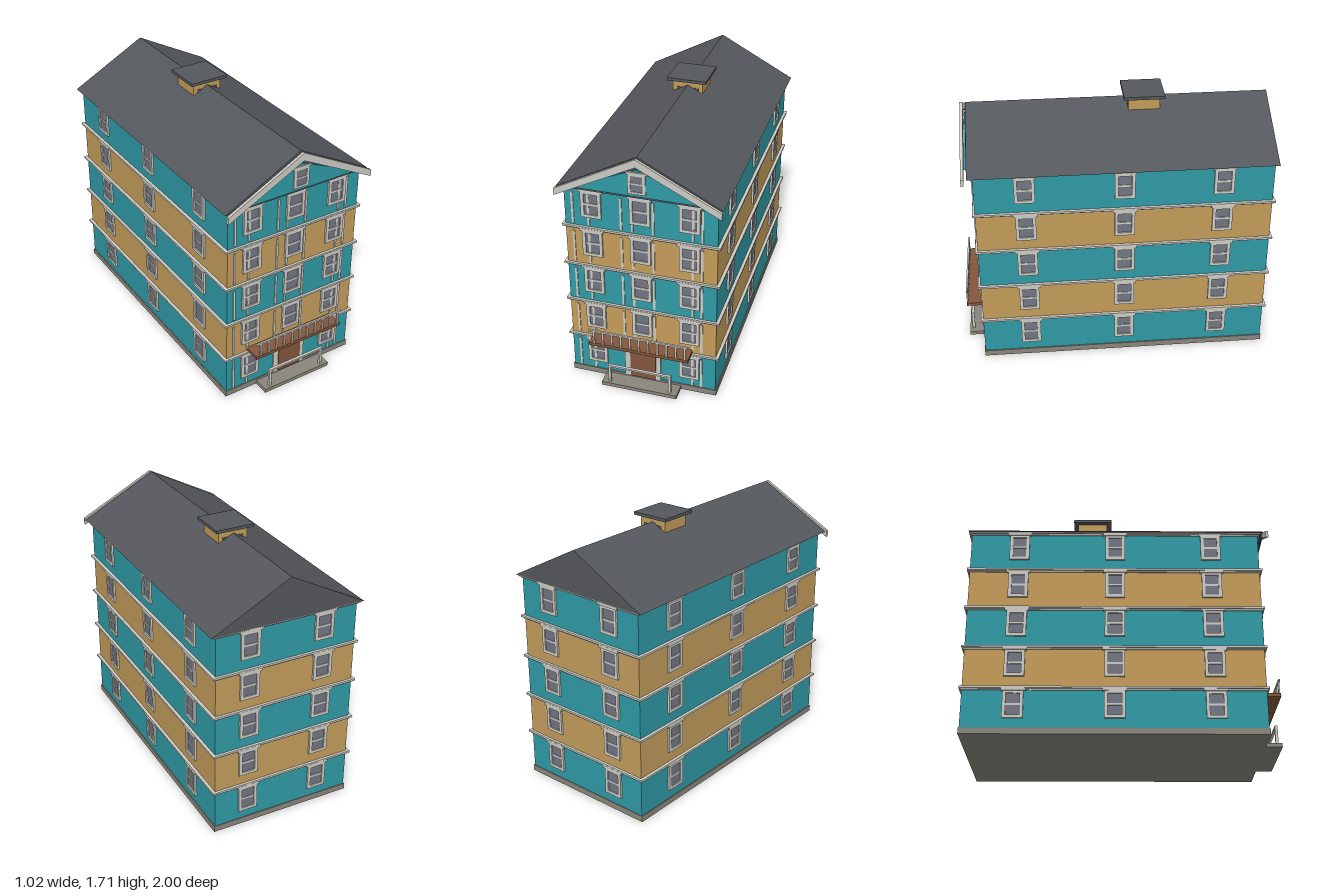
import * as THREE from 'three';

const material = (name, color) => {
  const m = new THREE.MeshStandardMaterial({ color });
  m.name = name;
  return m;
};

const FLOORS = 5, RISE = 0.273, BASE = 0.04;
const FRONT = 0.89, BACK = -0.98, SIDE = 0.475;
const EAVE = 1.392, RIDGE = 1.663, ROOF_X = 0.512;

export function createModel() {
  const teal = material('teal paint', 0x2f9aa6);
  const ochre = material('ochre paint', 0xc39c5a);
  const roofGrey = material('roof grey', 0x54575c);
  const trim = material('pale trim', 0xcdcbc3);
  const glass = material('window glass', 0x727683);
  const brown = material('brown wood', 0x83563c);
  const stone = material('foundation stone', 0x8a867c);

  const model = new THREE.Group();
  model.name = 'apartmentHouse';

  const add = (name, geometry, mat, parent = model) => {
    const mesh = new THREE.Mesh(geometry, mat);
    mesh.name = name;
    parent.add(mesh);
    return mesh;
  };
  // Box given by its extents along each axis
  const box = (name, mat, [x0, x1], [y0, y1], [z0, z1], parent) => {
    const mesh = add(name, new THREE.BoxGeometry(x1 - x0, y1 - y0, z1 - z0), mat, parent);
    mesh.position.set((x0 + x1) / 2, (y0 + y1) / 2, (z0 + z1) / 2);
    return mesh;
  };
  const outline = (points) => new THREE.Shape(points.map(([x, y]) => new THREE.Vector2(x, y)));
  const slab = (shape, z0, z1) =>
    new THREE.ExtrudeGeometry(shape, { depth: z1 - z0, bevelEnabled: false }).translate(0, 0, z0);

  // Foundation and front step
  box('foundation', stone, [-0.482, 0.482], [0, BASE], [-0.985, 0.895]);
  box('frontStep', stone, [-0.25, 0.25], [0, 0.025], [0.89, 1]);

  // Storeys in alternating colours, each topped by a two-step cornice
  for (let i = 0; i < FLOORS; i++) {
    const bottom = i === 0 ? BASE : 0.295 + (i - 1) * RISE;
    const top = 0.295 + i * RISE;
    box('storeyWalls', i % 2 ? ochre : teal, [-SIDE, SIDE], [bottom, top], [BACK, FRONT]);
    const y = 0.284 + i * RISE;
    box('corniceLower', trim, [-0.483, 0.483], [y, y + 0.009], [-0.988, 0.897]);
    box('corniceUpper', trim, [-0.495, 0.495], [y + 0.009, y + 0.022], [-0.997, 0.906]);
  }

  // Window: frame with opening, glass, sash bar and header; its base is at y = 0
  const frameShape = outline([[-0.064, 0], [0.064, 0], [0.064, 0.18], [-0.064, 0.18]]);
  frameShape.holes.push(outline([[-0.043, 0.02], [-0.043, 0.16], [0.043, 0.16], [0.043, 0.02]]));
  const frameGeometry = slab(frameShape, 0, 0.013);
  const addWindow = (x, y, z, turn) => {
    const group = new THREE.Group();
    group.name = 'window';
    group.position.set(x, y, z);
    group.rotation.y = turn;
    add('windowFrame', frameGeometry, trim, group);
    box('windowPane', glass, [-0.044, 0.044], [0.018, 0.162], [0, 0.005], group);
    box('sashBar', trim, [-0.044, 0.044], [0.083, 0.096], [0, 0.009], group);
    box('windowHeader', trim, [-0.076, 0.076], [0.176, 0.194], [0, 0.018], group);
    model.add(group);
    return group;
  };

  for (let i = 0; i < FLOORS; i++) {
    const y = 0.102 + i * RISE;
    for (const x of [-0.305, 0, 0.305]) {
      if (i > 0 || x !== 0) addWindow(x, y, FRONT, 0);
    }
    for (const z of [0.578, -0.043, -0.664]) {
      addWindow(SIDE, y, z, Math.PI / 2);
      addWindow(-SIDE, y, z, -Math.PI / 2);
    }
    for (const x of [-0.25, 0.25]) addWindow(x, y, BACK, Math.PI);

    // Thin vertical battens on the front wall
    for (const x of [-0.425, -0.325, -0.12, -0.05, 0.08, 0.325, 0.382]) {
      if (i === 0 && Math.abs(x) < 0.15) continue;
      const b = 0.046 + i * RISE;
      box('frontBatten', trim, [x - 0.007, x + 0.007], [b, b + 0.218], [FRONT, FRONT + 0.006]);
    }
  }

  // Front door with side trims
  box('frontDoor', brown, [-0.085, 0.085], [BASE, 0.295], [FRONT, 0.905]);
  box('doorTrimRight', trim, [-0.122, -0.085], [BASE, 0.295], [FRONT, 0.9]);
  box('doorTrimLeft', trim, [0.085, 0.115], [BASE, 0.295], [FRONT, 0.9]);

  // Balcony over the door
  box('balconyFloor', brown, [-0.325, 0.325], [0.308, 0.33], [FRONT, 1]);
  box('balconyRail', trim, [-0.325, 0.325], [0.415, 0.427], [0.988, 1]);
  for (let i = 0; i < 11; i++) {
    const x = -0.29 + i * 0.0595;
    box('balconyPost', trim, [x - 0.006, x + 0.006], [0.33, 0.416], [0.989, 0.999]);
  }

  // Handrail on the step
  for (const x of [-0.2, 0.2]) {
    box('stepPost', trim, [x - 0.008, x + 0.008], [0.025, 0.15], [0.965, 0.983]);
  }
  box('stepRail', trim, [-0.208, 0.208], [0.143, 0.156], [0.965, 0.983]);

  // Gabled roof, with a dark backing and painted gable at the front
  add('roof', slab(outline([[-ROOF_X, EAVE], [ROOF_X, EAVE], [0, RIDGE]]), -1, 0.922), roofGrey);
  add('gableBacking', slab(outline([[-0.42, 1.4], [0.42, 1.4], [0, 1.622]]), 0.92, 0.927), roofGrey);
  add('gableWall', slab(outline([[-0.415, 1.41], [0.415, 1.41], [0, 1.588]]), 0.925, 0.936), teal);
  const attic = addWindow(0, 1.428, 0.936, 0);
  attic.name = 'gableWindow';
  attic.scale.set(0.85, 0.74, 0.5);

  // Bargeboards following the gable
  const board = outline([
    [-0.512, 1.35], [0, 1.612], [0.512, 1.35],
    [0.512, 1.395], [0, 1.663], [-0.512, 1.395],
  ]);
  add('bargeboards', slab(board, 0.938, 0.957), trim);

  // Chimney with cap and small vents on both ends
  box('chimney', ochre, [-0.1, 0.1], [1.58, 1.692], [-0.3, -0.1]);
  box('chimneyCap', roofGrey, [-0.13, 0.13], [1.69, 1.71], [-0.33, -0.07]);
  for (const x of [-0.055, 0.055]) {
    for (const z of [-0.1, -0.3]) {
      box('chimneyVent', roofGrey, [x - 0.017, x + 0.017], [1.61, 1.645], [z - 0.003, z + 0.003]);
    }
  }
  return model;
}
